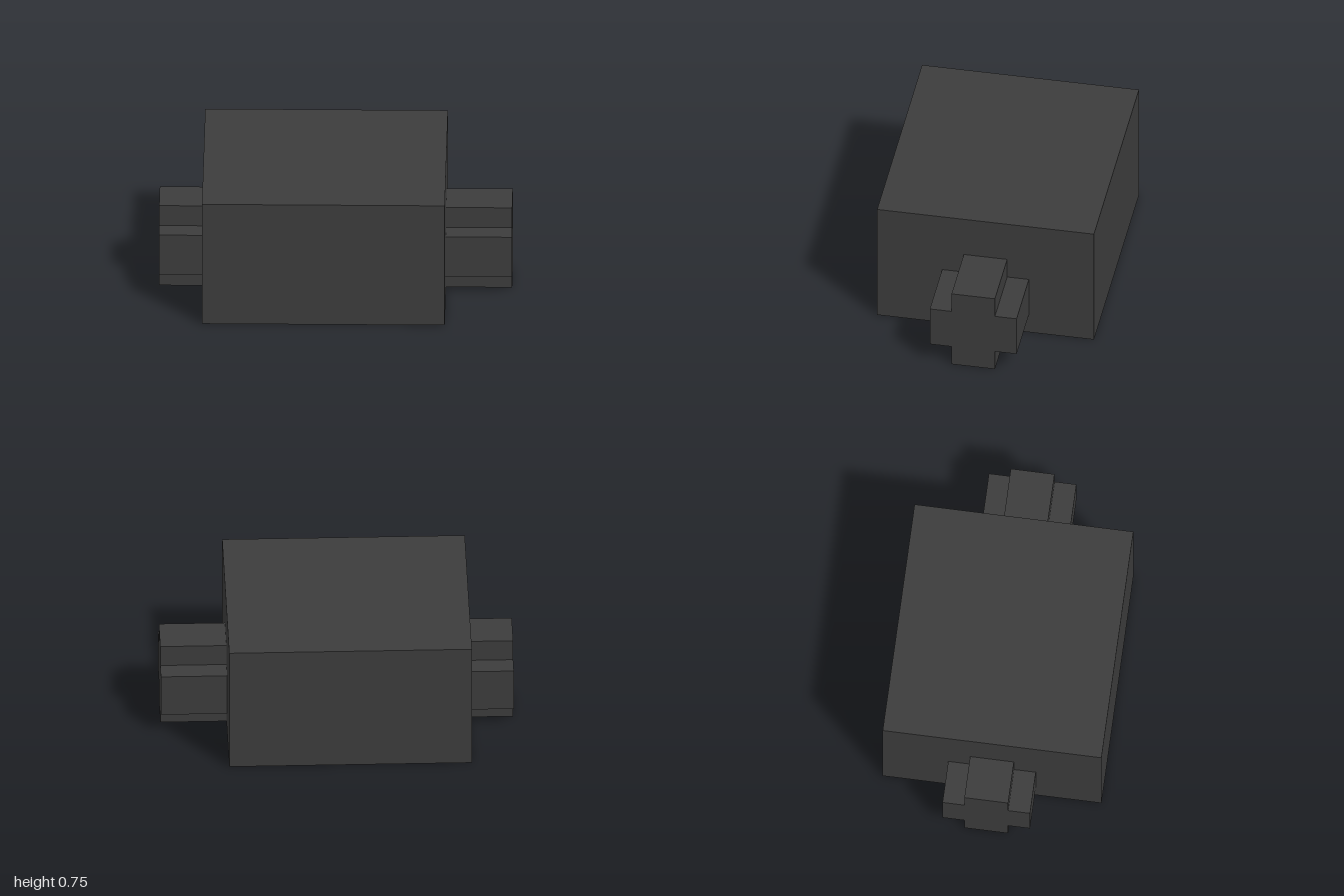
import * as THREE from 'three';

export function createModel() {
  const model = new THREE.Group();
  const darkGrey = new THREE.MeshStandardMaterial({ color: 0x3c3c3c });
  darkGrey.name = 'darkGrey';

  // Block body, slightly off centre
  const body = new THREE.Mesh(new THREE.BoxGeometry(1.375, 0.75, 1.25), darkGrey);
  body.name = 'body';
  body.position.set(-0.0625, 0.375, 0);
  model.add(body);

  // Stepped round cross-section of the axle stubs
  const a = 0.125, b = 0.25;
  const cross = new THREE.Shape([
    [-a, -b], [a, -b], [a, -a], [b, -a], [b, a], [a, a],
    [a, b], [-a, b], [-a, a], [-b, a], [-b, -a], [-a, -a],
  ].map(([x, y]) => new THREE.Vector2(x, y)));

  // Stub running along +x from the given start
  function addStub(name, startX, length) {
    const geometry = new THREE.ExtrudeGeometry(cross, { depth: length, bevelEnabled: false });
    geometry.rotateY(Math.PI / 2);
    const stub = new THREE.Mesh(geometry, darkGrey);
    stub.name = name;
    stub.position.set(startX, 0.25, 0);
    model.add(stub);
  }
  addStub('leftStub', 0.625, 0.375);
  addStub('rightStub', -1, 0.25);

  return model;
}
